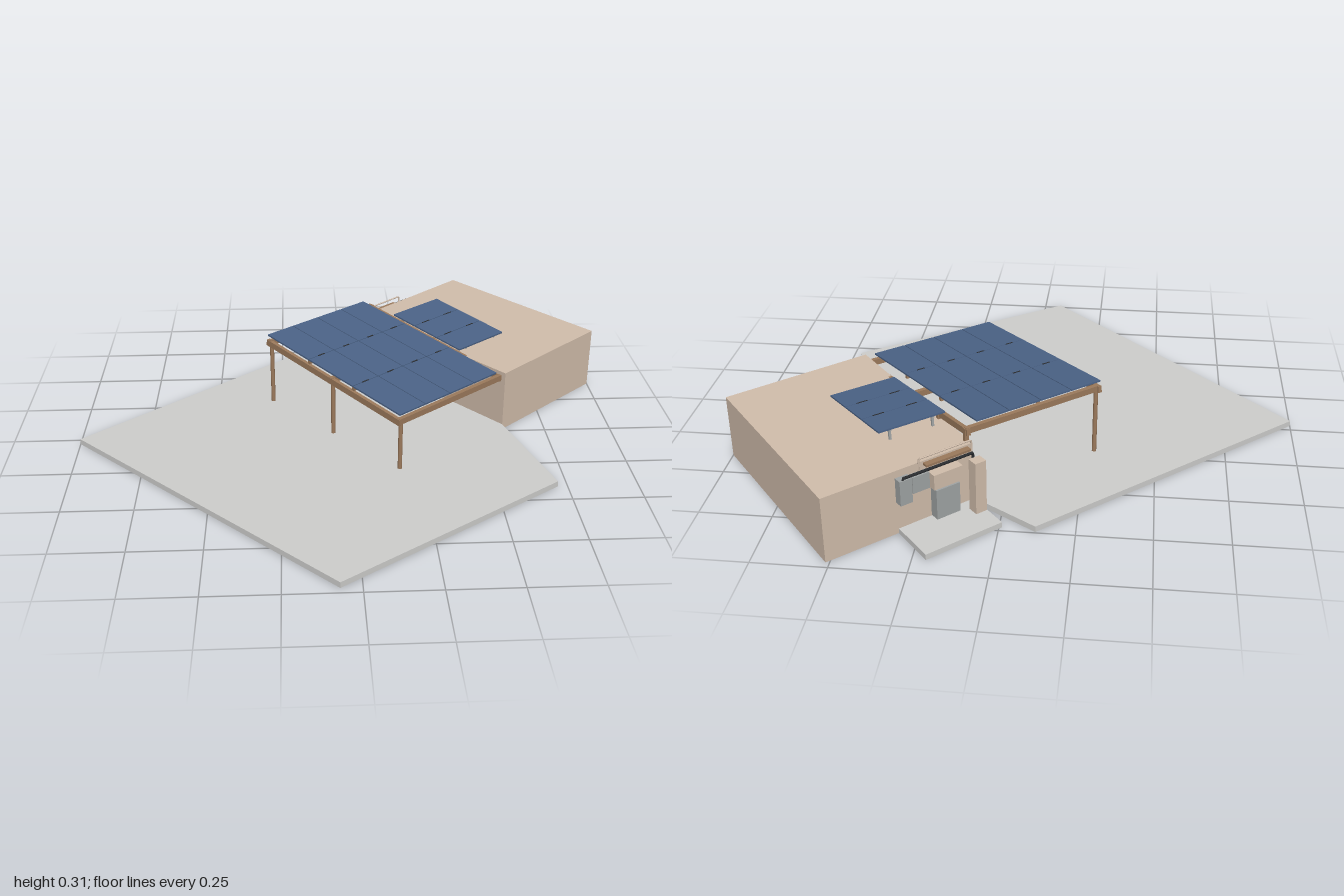
import * as THREE from 'three';

const mat = (name, color) => {
  const m = new THREE.MeshStandardMaterial({ color });
  m.name = name;
  return m;
};

export function createModel() {
  const wall = mat('tan wall', 0xd2beac);
  const concrete = mat('concrete', 0xcececc);
  const wood = mat('wood', 0x9c7a5c);
  const solar = mat('solar blue', 0x4b6387);
  const dark = mat('dark metal', 0x2b2d30);
  const grey = mat('equipment grey', 0xa0a4a4);

  const model = new THREE.Group();
  model.name = 'houseWithSolarPergola';

  const group = (name, parent) => {
    const g = new THREE.Group();
    g.name = name;
    parent.add(g);
    return g;
  };
  const add = (name, geometry, material, parent) => {
    const m = new THREE.Mesh(geometry, material);
    m.name = name;
    parent.add(m);
    return m;
  };
  // Box given by its minimum and maximum corners
  const box = (name, a, b, material, parent) => {
    const m = add(name, new THREE.BoxGeometry(b[0] - a[0], b[1] - a[1], b[2] - a[2]), material, parent);
    m.position.set((a[0] + b[0]) / 2, (a[1] + b[1]) / 2, (a[2] + b[2]) / 2);
    return m;
  };
  // Upright prism from a ground outline of [x, z] points
  const prism = (name, outline, height, material) => {
    const shape = new THREE.Shape(outline.map(([x, z]) => new THREE.Vector2(x, -z)));
    const g = new THREE.ExtrudeGeometry(shape, { depth: height, bevelEnabled: false });
    return add(name, g.rotateX(-Math.PI / 2), material, model);
  };
  const pipe = (name, points, radius, material, parent) => {
    const path = new THREE.CurvePath();
    const v = points.map((p) => new THREE.Vector3(...p));
    for (let i = 1; i < v.length; i++) path.add(new THREE.LineCurve3(v[i - 1], v[i]));
    return add(name, new THREE.TubeGeometry(path, 36, radius, 8), material, parent);
  };

  // Ground slabs and house block
  prism('patioSlab', [[-1, 0.03], [-0.12, -0.745], [0.1, -0.6], [0.588, -0.013], [0.715, 0.415], [-0.07, 0.975]], 0.021, concrete);
  prism('equipmentPad', [[-0.01, -0.73], [0.205, -0.93], [0.315, -0.8], [0.1, -0.602]], 0.02, concrete);
  prism('house', [[0.588, -0.013], [1, -0.388], [0.513, -0.975], [0.101, -0.601]], 0.236, wall);

  // Pergola frame: local x runs towards the house, local z along its wall
  const pergola = group('pergola', model);
  pergola.rotation.y = 0.688;
  const tilt = 0.088;
  for (const z of [-0.377, -0.02, 0.337]) {
    const top = 0.25 - z * Math.tan(tilt);
    const post = add('post', new THREE.CylinderGeometry(0.008, 0.008, top - 0.04, 12), wood, pergola);
    post.position.set(-0.057, 0.02 + (top - 0.04) / 2, z);
    // Cross beams carried from the posts to the house
    const y = 0.241 - z * Math.tan(tilt);
    box('crossBeam', [-0.068, y - 0.011, z - 0.008], [0.472, y + 0.011, z + 0.008], wood, pergola);
  }
  // Short roof supports under the house-side beam
  for (const z of [-0.377, -0.2, -0.02]) {
    box('roofSupport', [0.463, 0.23, z - 0.007], [0.477, 0.25 - z * tilt, z + 0.007], wood, pergola);
  }

  const roof = group('tiltedRoof', pergola);
  roof.position.set(0.183, 0.27, -0.022);
  roof.rotation.x = tilt;
  for (const x of [-0.247, 0.284]) {
    box('sideBeam', [x - 0.007, -0.042, -0.368], [x + 0.007, -0.018, 0.37], wood, roof);
  }

  // Grid of panels with clips where they meet
  const panelArray = (name, parent, cols, rows, pw, pl) => {
    const g = group(name, parent);
    const w = cols * pw, l = rows * pl, gap = 0.0015;
    for (let c = 0; c < cols; c++) {
      for (let r = 0; r < rows; r++) {
        const x = -w / 2 + c * pw, z = -l / 2 + r * pl;
        box('solarPanel', [x + gap, -0.003, z + gap], [x + pw - gap, 0.003, z + pl - gap], solar, g);
      }
    }
    return g;
  };
  const clip = (x, z, w, l, parent) =>
    box('panelClip', [x - w / 2, 0, z - l / 2], [x + w / 2, 0.0045, z + l / 2], dark, parent);

  const mainArray = panelArray('mainSolarArray', roof, 4, 3, 0.126, 0.245);
  mainArray.position.y = 0.001;
  const smallArray = panelArray('roofSolarArray', pergola, 1, 3, 0.252, 0.123);
  smallArray.position.set(0.594, 0.264, -0.061);
  smallArray.rotation.x = tilt;

  for (const z of [-0.1225, 0.1225]) {
    for (let c = 0; c < 4; c++) clip((c - 1.5) * 0.126, z, 0.03, 0.005, mainArray);
    box('panelRail', [-0.25, -0.016, z - 0.006], [0.25, -0.003, z + 0.006], wood, mainArray);
  }
  for (const z of [-0.0615, 0.0615]) for (const x of [-0.063, 0.063]) clip(x, z, 0.04, 0.004, smallArray);
  for (const x of [-0.08, 0.08]) {
    box('panelRail', [x - 0.004, -0.009, -0.18], [x + 0.004, -0.003, 0.18], grey, smallArray);
    box('panelFoot', [x - 0.004, -0.042, -0.175], [x + 0.004, -0.005, -0.167], grey, smallArray);
  }

  // Equipment on the end wall: local x runs along the wall, -z points outwards
  const equipment = group('equipment', model);
  equipment.position.set(0.101, 0, -0.601);
  equipment.rotation.y = 0.736;
  box('pillar', [0.004, 0.01, -0.084], [0.046, 0.212, -0.045], wall, equipment);
  box('batteryCabinet', [0.075, 0.02, -0.035], [0.165, 0.13, 0], grey, equipment);
  box('inverterCase', [0.062, 0.135, -0.035], [0.172, 0.19, 0], wall, equipment);
  box('switchBox', [0.182, 0.145, -0.025], [0.245, 0.205, 0], grey, equipment);
  box('meterBox', [0.25, 0.12, -0.03], [0.295, 0.21, 0], grey, equipment);
  pipe('darkConduit', [[0.015, 0.19, -0.025], [0.015, 0.216, -0.025], [0.28, 0.216, -0.025], [0.28, 0.19, -0.025]], 0.005, dark, equipment);
  box('conduitShelf', [0.02, 0.222, -0.022], [0.19, 0.23, 0], wood, equipment);
  pipe('roofConduit', [[0.01, 0.2, -0.008], [0.01, 0.254, -0.008], [0.21, 0.254, -0.008], [0.21, 0.2, -0.008]], 0.003, wall, equipment);

  return model;
}
